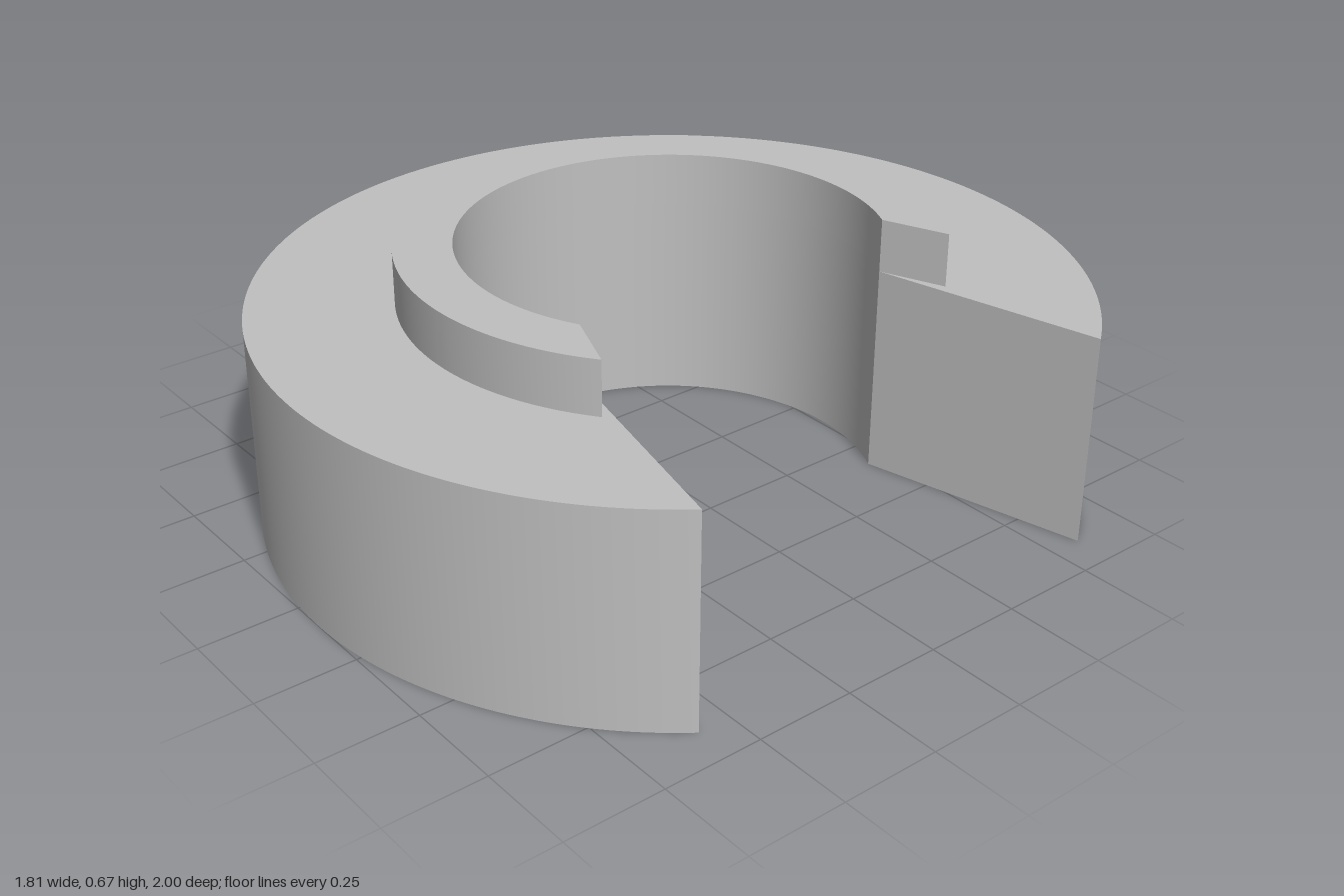
import * as THREE from 'three';
import { toCreasedNormals } from 'three/addons/utils/BufferGeometryUtils.js';

const CENTRE_X = 0.093;
const INNER_RADIUS = 0.51;
const INNER_ANGLE = 1.077; // half opening of the bore, from +x

// Open ring standing on y, with slanted end faces at the slot
function openRing(name, outerRadius, outerAngle, y, height, material) {
  const shape = new THREE.Shape();
  shape.absarc(0, 0, outerRadius, outerAngle, Math.PI * 2 - outerAngle, false);
  shape.absarc(0, 0, INNER_RADIUS, Math.PI * 2 - INNER_ANGLE, INNER_ANGLE, true);
  shape.closePath();
  const extruded = new THREE.ExtrudeGeometry(shape, {
    depth: height, bevelEnabled: false, curveSegments: 96,
  });
  extruded.rotateX(-Math.PI / 2);
  const mesh = new THREE.Mesh(toCreasedNormals(extruded, 0.4), material);
  mesh.name = name;
  mesh.position.set(CENTRE_X, y, 0);
  return mesh;
}

export function createModel() {
  const grey = new THREE.MeshStandardMaterial({ color: 0xc0c0c0 });
  grey.name = 'light grey';

  const group = new THREE.Group();
  group.name = 'slottedCollar';
  // Wide base ring and the narrow raised lip around the bore
  group.add(openRing('baseRing', 1, 0.624, 0, 0.535, grey));
  group.add(openRing('raisedLip', 0.65, 0.907, 0.535, 0.135, grey));
  return group;
}
